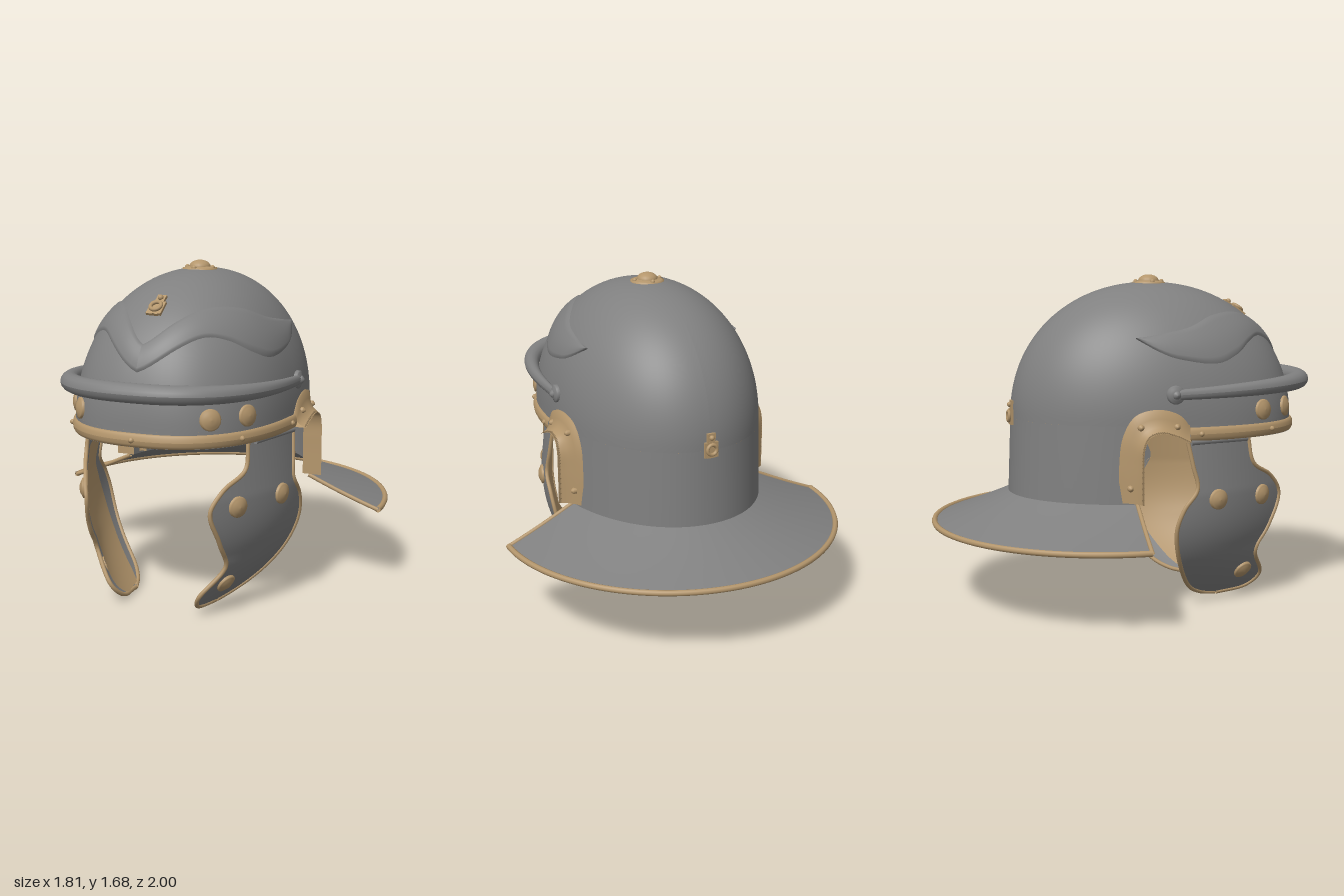
import * as THREE from 'three';

const V = (x, y, z) => new THREE.Vector3(x, y, z);
const rad = THREE.MathUtils.degToRad;
const lerp = THREE.MathUtils.lerp;

// Grid surface from a rule f(u, v) -> Vector3
function grid(f, nu, nv) {
  const pos = [], idx = [];
  for (let j = 0; j <= nv; j++) for (let i = 0; i <= nu; i++) {
    pos.push(...f(i / nu, j / nv).toArray());
    if (i < nu && j < nv) {
      const a = j * (nu + 1) + i, b = a + nu + 1;
      idx.push(a, a + 1, b + 1, a, b + 1, b);
    }
  }
  const g = new THREE.BufferGeometry();
  g.setAttribute('position', new THREE.Float32BufferAttribute(pos, 3));
  g.setIndex(idx);
  g.computeVertexNormals();
  return g;
}

// Point on the bowl: th = 0 at the front, 90 degrees at the model's left.
// The brow is squarer than the crown and the back.
const BASE = 0.95, H = 0.69, CZ = 0.15, HALF = 0.535, BACK = 0.735;
const bend = (s, n) => Math.sign(s) * Math.pow(Math.abs(s), 2 / n);
function bowl(th, y, o = 0) {
  const t = Math.min(1, (y - BASE) / H);
  const f = t > 0 ? Math.pow(1 - Math.pow(t, 2.1), 1 / 2.1) : 1 - 0.035 * t;
  const c = Math.cos(th), n = c > 0 ? lerp(2.5, 2.1, Math.max(0, t)) : 2.05;
  return V((HALF * f + o) * bend(Math.sin(th), n), y, CZ + ((c > 0 ? 0.75 : BACK) * f + o) * bend(c, n));
}
function bowlNormal(th, y) {
  const e = 0.004, a = bowl(th + e, y).sub(bowl(th - e, y));
  return bowl(th, y + e).sub(bowl(th, y - e)).cross(a).normalize().negate();
}

// Cheek guard surface: sideways position for a height and depth
function cheek(y, z, o = 0) {
  const r = y < 0.6 ? 0.56 - 1.15 * Math.pow(0.6 - y, 2.56) : 0.56 - 0.11 * (y - 0.6);
  const k = lerp(0.3, 0.6, Math.min(1, y / 0.3));
  return V(r - k * Math.pow(Math.max(0, z - 0.15), 2) + o, y, z);
}
function cheekNormal(y, z) {
  const e = 0.01;
  return V(2 * e, cheek(y - e, z).x - cheek(y + e, z).x, cheek(y, z - e).x - cheek(y, z + e).x).normalize();
}
const spline = (pts) => new THREE.CatmullRomCurve3(pts.map(([z, y]) => V(0, y, z)));

export function createModel() {
  const root = new THREE.Group();
  root.name = 'helmet';
  const iron = new THREE.MeshStandardMaterial({ color: 0x808080, side: THREE.DoubleSide });
  iron.name = 'iron grey';
  const brass = new THREE.MeshStandardMaterial({ color: 0xb4966c, side: THREE.DoubleSide });
  brass.name = 'brass';
  const add = (name, geo, mat, parent = root) => {
    const m = new THREE.Mesh(geo, mat);
    m.name = name;
    parent.add(m);
    return m;
  };
  const tube = (name, pts, r, mat, parent, n = 64) =>
    add(name, new THREE.TubeGeometry(new THREE.CatmullRomCurve3(pts), n, r, 8), mat, parent);
  // Domed stud seated on a surface
  const stud = (name, p, n, r, h, mat, parent) => {
    const prof = [[r, -0.01], [r, h * 0.3], [r * 0.85, h * 0.45], [r * 0.7, h * 0.6], [r * 0.4, h * 0.9], [0, h]];
    const m = add(name, new THREE.LatheGeometry(prof.map((q) => new THREE.Vector2(...q)), 24), mat, parent);
    m.position.copy(p);
    m.quaternion.setFromUnitVectors(V(0, 1, 0), n);
    return m;
  };

  // Bowl, brow wall and neck wall
  const domeAt = (u, v) => bowl(Math.PI + u * 2 * Math.PI, BASE + H * Math.sin(v * Math.PI / 2));
  add('bowl', grid(domeAt, 96, 32), iron);
  const wall = (a, b, low) => (u, v) => {
    const th = rad(lerp(a, b, u));
    return bowl(th, lerp(low(th), BASE, v));
  };
  add('browWall', grid(wall(-88, 88, () => 0.87), 64, 4), iron);
  add('neckWall', grid(wall(106, 254, () => 0.56), 64, 10), iron);

  // Brass lining just inside the bowl
  const shrink = (f) => (u, v) => {
    const p = f(u, v);
    return V(p.x * 0.97, p.y > BASE ? BASE + (p.y - BASE) * 0.975 : p.y, CZ + (p.z - CZ) * 0.97);
  };
  const liningEdge = (th) => 0.7 + 0.17 * Math.pow(Math.abs(Math.sin(th)), 3);
  add('bowlLining', grid(shrink(domeAt), 72, 24), brass);
  add('browLining', grid(shrink(wall(-88, 88, () => 0.87)), 64, 2), brass);
  add('neckLining', grid(shrink(wall(106, 254, liningEdge)), 64, 6), brass);

  // Flared neck guard with brass rim
  const guard = (u, v) => {
    const a = bowl(rad(lerp(106, 254, u)), 0.562), ph = rad(lerp(90, 270, u));
    const b = V(0.892 * Math.sin(ph), 0.405, -0.1 + 0.886 * Math.cos(ph));
    const p = a.lerp(b, v);
    p.y -= 0.005 * Math.sin(Math.PI * v);
    return p;
  };
  add('neckGuard', grid(guard, 72, 10), iron);
  const steps = (n) => Array.from({ length: n + 1 }, (_, i) => i / n);
  tube('neckGuardRim', steps(40).map((u) => guard(u, 1)), 0.015, brass, root, 96);
  for (const u of [0, 1]) tube('neckGuardEndRim', steps(5).map((v) => guard(u, v)), 0.011, brass, root, 16);

  // Swept bar with oval section following the bowl
  const bar = (span, y, o, ru, rv) => (u, v) => {
    const t = 2 * u - 1, k = 1 - t * t, a = v * 2 * Math.PI;
    return bowl(rad(t * span), 1, o(k) + ru(k) * Math.cos(a)).setY(y(k) + rv(k) * Math.sin(a));
  };
  add('browBand', grid(bar(88, () => 0.903, () => 0.002, () => 0.017, () => 0.034), 80, 12), brass);
  for (const d of [-85, -52, 0, 52, 85]) {
    const th = rad(d);
    stud('browBandRivet', bowl(th, 0.905, 0.017), bowlNormal(th, 0.93).setY(0).normalize(), 0.013, 0.012, brass);
  }
  add('browGuard', grid(bar(91, (k) => 1.1 + 0.035 * k, (k) => 0.046 * Math.pow(k, 1.5),
    (k) => 0.016 + 0.038 * k, (k) => 0.026 + 0.021 * k), 96, 16), iron);

  // Embossed brow wings: degrees, upper height, lower height
  const line = (pts) => new THREE.CatmullRomCurve3(pts.map(([d, y]) => V(d, y, 0)));
  const upper = line([[0, 1.34], [14, 1.43], [35, 1.49], [66, 1.48], [85, 1.42], [108, 1.37]]);
  const lower = line([[0, 1.21], [19, 1.32], [35, 1.365], [50, 1.34], [63, 1.28], [75, 1.24], [90, 1.27], [108, 1.37]]);

  // Ear guard section: inward share, outward share
  const earSection = [[0, -0.3], [0, 0], [0.4, 0.1], [0.75, 0.42], [0.92, 0.8], [1, 1], [1, -0.4]];
  const wallX = (z) => HALF * Math.pow(1 - Math.pow(Math.abs(z - CZ) / BACK, 2.05), 1 / 2.05) + 0.008;

  for (const s of [1, -1]) {
    const side = new THREE.Group();
    side.name = s > 0 ? 'leftSide' : 'rightSide';
    root.add(side);
    const flip = (p) => V(p.x * s, p.y, p.z);

    // Wing, raised from the bowl along its outline
    add('browWing', grid((u, v) => {
      const p = upper.getPoint(u).lerp(lower.getPoint(u), v), th = rad(p.x);
      const lift = v === 0 || v === 1 ? -0.004 : 0.006 + 0.008 * Math.sin(Math.PI * v);
      return flip(bowl(th, p.y).addScaledVector(bowlNormal(th, p.y), lift));
    }, 48, 12), iron, side);

    // Pivot of the brow guard
    stud('browGuardPivot', flip(V(0.53, 1.1, 0.13)), V(s, 0, 0), 0.046, 0.02, iron, side);
    stud('browGuardRivet', flip(V(0.545, 1.1, 0.13)), V(s, 0, 0), 0.02, 0.018, iron, side);

    // Brow bosses
    for (const x of [0.345, 0.46]) {
      const th = Math.asin(Math.pow(x / HALF, 1.25));
      stud('browBoss', flip(bowl(th, 1.005)), flip(bowlNormal(th, 1.005)), 0.052, 0.022, brass, side);
    }

    // Ear guard flaring out from the bowl around the opening
    const rimOut = spline([[0.21, 0.93], [0.15, 1.0], [0.04, 1.03], [-0.07, 1.0], [-0.13, 0.9], [-0.15, 0.75], [-0.15, 0.57]]);
    const rimIn = spline([[0.19, 0.87], [0.12, 0.9], [0.04, 0.92], [-0.02, 0.9], [-0.045, 0.85], [-0.05, 0.75], [-0.05, 0.57]]);
    add('earGuard', grid((u, v) => {
      const [k, w] = earSection[Math.round(v * 6)];
      const p = rimOut.getPoint(u).lerp(rimIn.getPoint(u), k);
      return p.setX(s * lerp(wallX(p.z), 0.597, w));
    }, 40, 6), brass, side);
    for (const [z, y] of [[0.13, 0.945], [-0.05, 0.945], [-0.1, 0.645]])
      stud('earGuardRivet', V(s * lerp(wallX(z), 0.597, 0.2), y, z), V(s, 0, 0), 0.016, 0.018, brass, side);

    // Cheek guard: plate, lining, rim, hinge and bosses
    const front = spline([[0.55, 0.86], [0.58, 0.73], [0.7, 0.65], [0.765, 0.55], [0.7, 0.38], [0.63, 0.25], [0.7, 0.1], [0.64, 0.03], [0.46, 0.005]]);
    const rear = spline([[0.195, 0.86], [0.22, 0.74], [0.24, 0.63], [0.17, 0.53], [0.135, 0.42], [0.17, 0.25], [0.27, 0.08], [0.36, 0.025], [0.45, 0.005]]);
    const plate = (o, a, b, t0, t1) => (u, v) => {
      const t = lerp(t0, t1, v), p = front.getPoint(t).lerp(rear.getPoint(t), lerp(a, b, u));
      return flip(cheek(p.y, p.z).addScaledVector(cheekNormal(p.y, p.z), o));
    };
    add('cheekGuard', grid(plate(0, 0, 1, 0, 1), 16, 48), iron, side);
    add('cheekLining', grid(plate(-0.014, 0.06, 0.8, 0.1, 0.92), 16, 40), brass, side);
    for (const edge of [front, rear])
      tube('cheekRim', edge.getPoints(40).map((p) => flip(cheek(p.y, p.z))), 0.011, brass, side, 80);
    const hinge = add('cheekHinge', new THREE.CylinderGeometry(0.014, 0.014, 0.33, 10), iron, side);
    hinge.position.set(0.5 * s, 0.862, 0.37);
    hinge.rotation.set(Math.PI / 2, 0, s * 0.22);
    for (const [z, y] of [[0.635, 0.56], [0.355, 0.57], [0.57, 0.145]])
      stud('cheekBoss', flip(cheek(y, z)), flip(cheekNormal(y, z)), 0.052, 0.025, brass, side);
  }

  // Crown mount with knob and rivets
  stud('crownPlate', V(0, 1.632, 0.15), V(0, 1, 0), 0.088, 0.022, brass);
  const knob = add('crownKnob', new THREE.SphereGeometry(0.055, 20, 10, 0, Math.PI * 2, 0, Math.PI / 2), brass);
  knob.position.set(0, 1.643, 0.15);
  knob.scale.y = 0.65;
  for (let i = 0; i < 4; i++) {
    const a = i * Math.PI / 2;
    stud('crownRivet', V(0.07 * Math.sin(a), 1.643, 0.15 + 0.07 * Math.cos(a)), V(0, 1, 0), 0.012, 0.012, brass);
  }

  // Crest hooks at front and back
  for (const [name, th, y, k] of [['frontHook', 0, 1.495, 1.1], ['backHook', Math.PI, 0.97, 1.05]]) {
    const hook = new THREE.Group();
    hook.name = name;
    hook.position.copy(bowl(th, y));
    hook.lookAt(hook.position.clone().add(bowlNormal(th, y)));
    hook.scale.setScalar(k);
    root.add(hook);
    add('hookPlate', new THREE.BoxGeometry(0.07, 0.075, 0.02), brass, hook).position.y = -0.015;
    add('hookTab', new THREE.BoxGeometry(0.042, 0.12, 0.018), brass, hook).position.y = 0.005;
    const ring = add('hookRing', new THREE.TorusGeometry(0.024, 0.009, 8, 20), brass, hook);
    ring.position.set(0, -0.012, 0.016);
    add('hookStud', new THREE.SphereGeometry(0.013, 12, 8), brass, hook).position.set(0, 0.045, 0.012);
  }
  return root;
}
